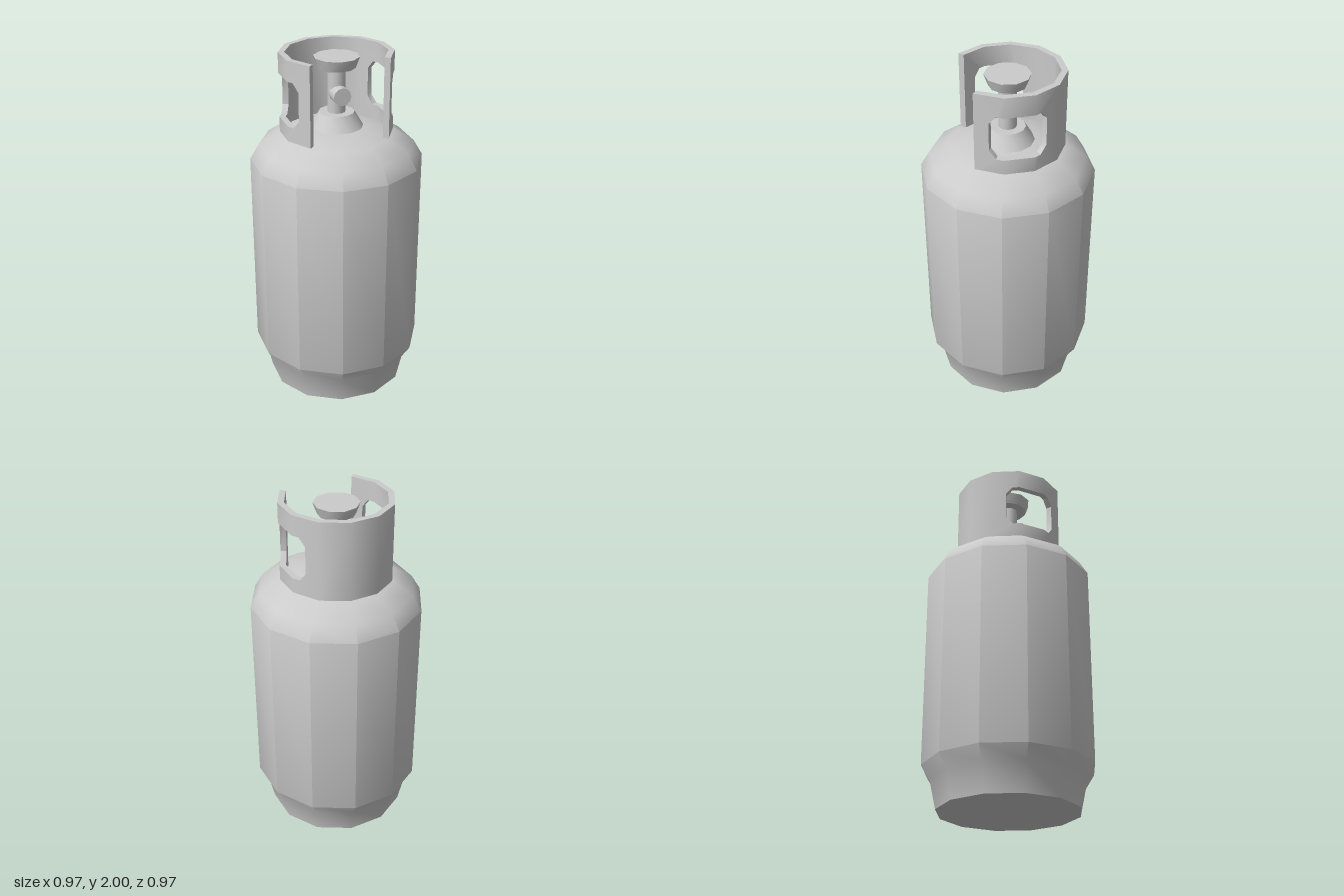
import * as THREE from 'three';
import { toCreasedNormals } from 'three/addons/utils/BufferGeometryUtils.js';

const CREASE = 0.66;
const SIDES = 12;
const STEP = (Math.PI * 2) / SIDES;

export function createModel() {
  const group = new THREE.Group();
  group.name = 'gasCylinder';
  const material = new THREE.MeshStandardMaterial({ color: 0xcccccc });

  const add = (name, geometry) => {
    const mesh = new THREE.Mesh(toCreasedNormals(geometry, CREASE), material);
    mesh.name = name;
    group.add(mesh);
    return mesh;
  };
  const lathe = (points, sides) =>
    new THREE.LatheGeometry(points.map(([r, y]) => new THREE.Vector2(r, y)), sides);

  // Tank with tapered foot and stepped shoulder
  add('tank', lathe([
    [0, 0], [0.4, 0], [0.435, 0.16], [0.485, 0.24], [0.485, 1.39],
    [0.435, 1.475], [0.325, 1.545], [0.15, 1.577], [0, 1.577],
  ], SIDES));

  // Valve: conical seat, stem, hand wheel and an outlet pointing at the opening
  add('valveSeat', lathe([[0.153, 1.57], [0.1, 1.66], [0, 1.66]], SIDES));
  add('valveStem', new THREE.CylinderGeometry(0.05, 0.05, 0.27, SIDES, 1, true).translate(0, 1.785, 0));
  add('handWheel', new THREE.CylinderGeometry(0.127, 0.105, 0.062, 10).translate(0, 1.941, 0));
  const outlet = new THREE.CylinderGeometry(0.05, 0.05, 0.1, SIDES);
  outlet.rotateX(Math.PI / 2).translate(0, 0, 0.05).rotateY(Math.PI / 4).translate(0, 1.77, 0);
  add('valveOutlet', outlet);

  add('collar', collarGeometry());
  return group;
}

// Guard collar: nine flat panels over 270 degrees, with a window in each end quadrant
function collarGeometry() {
  const bottom = 1.55, top = 2, low = 1.635, high = 1.885;
  const rIn = 0.28, rOut = 0.315, cut = 0.045;
  const shape = (pts) => new THREE.Shape(pts.map(([u, y]) => new THREE.Vector2(u, y)));

  const solid = [shape([[0, bottom], [1, bottom], [1, top], [0, top]])];
  const rails = [
    shape([[0, bottom], [1, bottom], [1, low], [0, low]]),
    shape([[0, high], [1, high], [1, top], [0, top]]),
  ];
  // Half a window with chamfered corners, opening to the right or to the left
  const side = [
    [0, bottom], [1, bottom], [1, low], [0.74, low], [0.5, low + cut],
    [0.5, high - cut], [0.74, high], [1, high], [1, top], [0, top],
  ];
  const opensRight = [shape(side)];
  const opensLeft = [shape(side.map(([u, y]) => [1 - u, y]).reverse())];
  const quadrant = [opensRight, rails, opensLeft];
  const panels = [...quadrant, solid, solid, solid, ...quadrant];

  const positions = [];
  panels.forEach((shapes, i) => {
    const a0 = (i + 3) * STEP, a1 = a0 + STEP;
    const flat = new THREE.ExtrudeGeometry(shapes, { depth: 1, bevelEnabled: false });
    const p = flat.toNonIndexed ? (flat.index ? flat.toNonIndexed() : flat).attributes.position : null;
    for (let t = 0; t < p.count; t += 3) {
      const ids = [t, t + 1, t + 2];
      // Leave out the hidden joints between neighbouring panels
      if (i > 0 && ids.every((k) => p.getX(k) < 1e-4)) continue;
      if (i < panels.length - 1 && ids.every((k) => p.getX(k) > 1 - 1e-4)) continue;
      for (const k of ids) {
        const u = p.getX(k), r = rIn + (rOut - rIn) * p.getZ(k);
        positions.push(
          r * THREE.MathUtils.lerp(Math.sin(a0), Math.sin(a1), u),
          p.getY(k),
          r * THREE.MathUtils.lerp(Math.cos(a0), Math.cos(a1), u),
        );
      }
    }
  });
  const geometry = new THREE.BufferGeometry();
  geometry.setAttribute('position', new THREE.Float32BufferAttribute(positions, 3));
  geometry.computeVertexNormals();
  return geometry;
}
